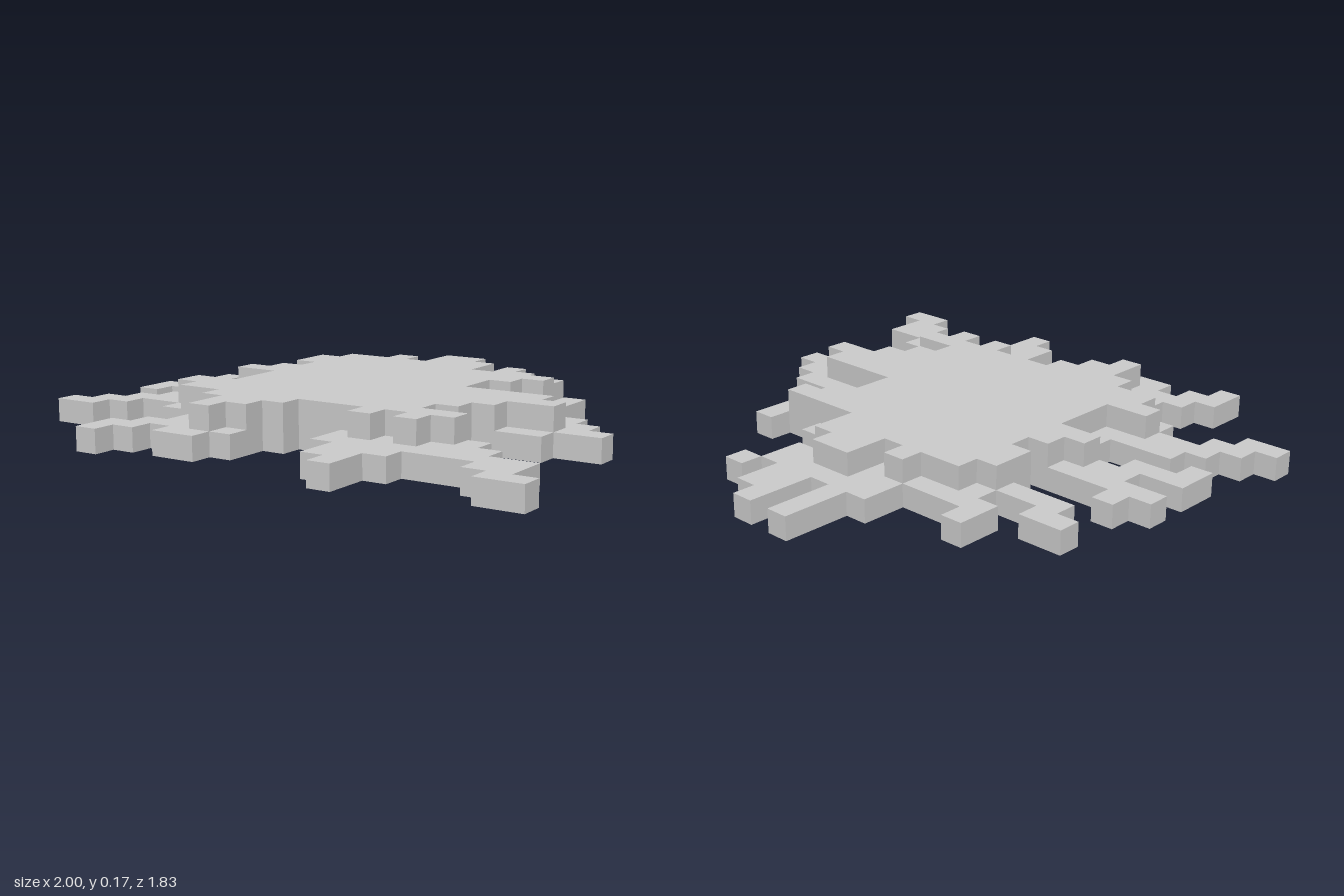
import * as THREE from 'three';

const CELL = 1 / 12; // block size
const HALF = 12; // half the grid width in blocks

// Each row (back to front) lists filled runs as [startX, endX] in blocks.
const baseRows = { first: -11, rows: [
  // rear spikes
  [[-2, -1], [0, 1]], [[-2, -1], [0, 2]], [[-2, -1], [0, 2], [3, 4]],
  [[-3, 3]], [[-7, -6], [-3, 3]], [[-7, 2]],
  // rear side arms
  [[-10, -8], [-6, 4], [6, 7]], [[-9, 7]], [[-6, 5]],
  // middle arms
  [[-10, -9], [-5, 4]], [[-11, 4], [6, 9]], [[-9, 10]],
  [[-11, -8], [-6, 11]], [[-11, -10], [-6, 9]],
  // front side arms
  [[-9, 6]], [[-10, 6]], [[-11, -9], [-7, 8]],
  // front spikes
  [[-12, -10], [-5, 0], [2, 9]], [[-5, -1], [2, 11]], [[-6, -1], [3, 6], [9, 11]],
  [[-7, -5], [-4, -2], [3, 5], [10, 12]], [[-7, -6], [4, 5]],
] };

const upperRows = { first: -7, rows: [
  [[-1, 1]], [[-3, -2], [-1, 2]], [[-5, 2]], [[-6, 6]], [[-6, 5]],
  [[-5, 4]], [[-6, 4]], [[-7, 8]], [[-5, 9]], [[-5, 7]],
  [[-5, 6]], [[-7, 5]], [[-6, 7]],
  [[-4, 0], [3, 4], [5, 6]], [[-3, -1]], [[-3, -2]],
] };

const layers = [baseRows, upperRows];

function filled(x, y, z) {
  const layer = layers[y];
  const row = layer && layer.rows[z - layer.first];
  return !!row && row.some(([a, b]) => x >= a && x < b);
}

// Outward direction and two in-plane axes (u x v = direction) of a block's faces
const sides = [
  [[1, 0, 0], [0, 1, 0], [0, 0, 1]], [[-1, 0, 0], [0, 0, 1], [0, 1, 0]],
  [[0, 1, 0], [0, 0, 1], [1, 0, 0]], [[0, -1, 0], [1, 0, 0], [0, 0, 1]],
  [[0, 0, 1], [1, 0, 0], [0, 1, 0]], [[0, 0, -1], [0, 1, 0], [1, 0, 0]],
];

// Block layer with only its exposed faces
function layerGeometry(y) {
  const positions = [], normals = [], index = [];
  for (let z = -HALF; z < HALF; z++) for (let x = -HALF; x < HALF; x++) {
    if (!filled(x, y, z)) continue;
    const centre = [x + 0.5, y + 0.5, z + 0.5];
    for (const [n, u, v] of sides) {
      if (filled(x + n[0], y + n[1], z + n[2])) continue;
      const start = positions.length / 3;
      for (const [s, t] of [[-1, -1], [1, -1], [1, 1], [-1, 1]]) {
        positions.push(...centre.map((c, i) => (c + (n[i] + s * u[i] + t * v[i]) / 2) * CELL));
        normals.push(...n);
      }
      index.push(start, start + 1, start + 2, start, start + 2, start + 3);
    }
  }
  const geometry = new THREE.BufferGeometry();
  geometry.setAttribute('position', new THREE.Float32BufferAttribute(positions, 3));
  geometry.setAttribute('normal', new THREE.Float32BufferAttribute(normals, 3));
  geometry.setIndex(index);
  return geometry;
}

export function createModel() {
  const group = new THREE.Group();
  group.name = 'blockSplat';
  const material = new THREE.MeshStandardMaterial({ color: 0xcccccc, flatShading: true });
  ['baseLayer', 'upperLayer'].forEach((name, y) => {
    const mesh = new THREE.Mesh(layerGeometry(y), material);
    mesh.name = name;
    group.add(mesh);
  });
  return group;
}
